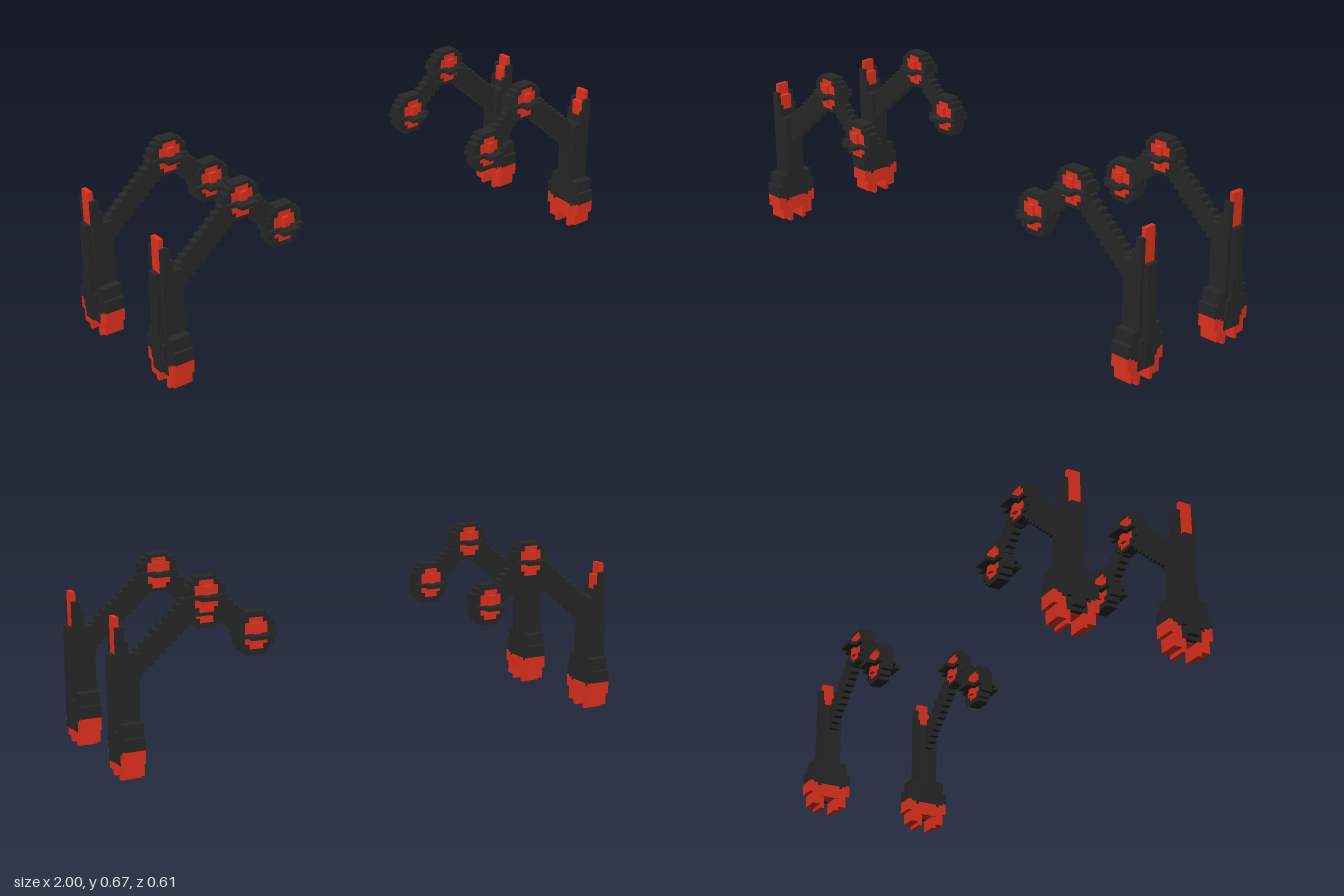
import * as THREE from 'three';

export function createModel() {
  const dark = new THREE.MeshStandardMaterial({ color: 0x282828 });
  dark.name = 'charcoal';
  const red = new THREE.MeshStandardMaterial({ color: 0xe6321e });
  red.name = 'red';

  // Box given by its limits on each axis
  const box = (parent, name, mat, x0, x1, y0, y1, z0, z1) => {
    const m = new THREE.Mesh(new THREE.BoxGeometry(x1 - x0, y1 - y0, z1 - z0), mat);
    m.position.set((x0 + x1) / 2, (y0 + y1) / 2, (z0 + z1) / 2);
    m.name = name;
    parent.add(m);
  };
  // Box centred on z = 0
  const mid = (parent, name, mat, x0, x1, y0, y1, h) => box(parent, name, mat, x0, x1, y0, y1, -h, h);

  // Stepped strut made of thin upright slices
  const strut = (parent, name, xa, ya, xb, yb, half, n) => {
    const g = new THREE.Group();
    g.name = name;
    const w = (xb - xa) / n;
    for (let i = 0; i < n; i++) {
      const y = ya + (yb - ya) * (i + 0.5) / n;
      mid(g, name + 'Step', dark, xa + i * w, xa + (i + 1) * w, y - half, y + half, 0.016);
    }
    parent.add(g);
  };

  // Stepped round joint with red faces, a raised red rib and a thin axle plate
  const joint = (parent, name, x, y, tall, plateY) => {
    const g = new THREE.Group();
    g.name = name;
    g.position.set(x, y, 0);
    [[0.038, 0.068], [0.055, 0.055], [0.07, 0.038]].forEach(([a, b], i) =>
      mid(g, 'jointRing', dark, -a, a, -b * tall, b * tall, 0.0232 - i * 0.0002));
    mid(g, 'jointFace', red, -0.026, 0.026, -0.056, 0.056, 0.0245);
    mid(g, 'jointFace', red, -0.042, 0.042, -0.038, 0.038, 0.0248);
    mid(g, 'jointRib', red, -0.013, 0.013, -0.039, 0.037, 0.038);
    mid(g, 'axlePlate', dark, -0.036, 0.036, plateY - 0.007, plateY + 0.007, 0.07);
    mid(g, 'axlePlateWing', dark, -0.07, 0.07, plateY - 0.0065, plateY + 0.0065, 0.0385);
    parent.add(g);
  };

  const makeLeg = (hipX) => {
    const leg = new THREE.Group();

    // Upper limb
    joint(leg, 'hipJoint', hipX, 0.451, 1.12, -0.008);
    joint(leg, 'kneeJoint', 0.651, 0.6, 1, -0.002);
    strut(leg, 'thigh', hipX + 0.02, 0.465, 0.63, 0.585, 0.048, 7);
    strut(leg, 'forearm', 0.67, 0.592, 0.91, 0.382, 0.052, 11);

    // Shin and its outer plate
    mid(leg, 'shin', dark, 0.905, 0.982, 0.05, 0.435, 0.038);
    mid(leg, 'outerPlate', dark, 0.98, 1.0, 0.063, 0.435, 0.023);
    mid(leg, 'anklePlate', dark, 0.98, 0.996, 0.095, 0.17, 0.038);

    // Spike: stepped red blade between dark sides
    mid(leg, 'spikeBack', dark, 0.94, 0.952, 0.43, 0.46, 0.023);
    mid(leg, 'spikeBladeStep', red, 0.95, 0.967, 0.43, 0.515, 0.023);
    mid(leg, 'spikeBlade', red, 0.966, 0.983, 0.435, 0.56, 0.023);

    // Red palm on the inner side of the foot
    mid(leg, 'clawPalm', red, 0.903, 0.962, 0.048, 0.1, 0.0385);

    for (const s of [-1, 1]) {
      const z = (a, b) => (s > 0 ? [a, b] : [-b, -a]);
      box(leg, 'spikeSide', dark, 0.955, 0.984, 0.43, 0.527, ...z(0.023, 0.038));
      box(leg, 'spikeSideBase', dark, 0.94, 0.955, 0.43, 0.48, ...z(0.023, 0.038));

      // Foot guard, with a stepped lower edge
      box(leg, 'footGuard', dark, 0.906, 0.981, 0.103, 0.2, ...z(0.03, 0.07));
      box(leg, 'footGuardStep', dark, 0.9062, 0.9808, 0.092, 0.12, ...z(0.03, 0.053));
      box(leg, 'footGuardEdge', dark, 0.9065, 0.9805, 0.11, 0.155, ...z(0.06, 0.085));

      // Claw, two prongs per foot
      box(leg, 'clawBulge', red, 0.907, 0.98, 0.063, 0.11, ...z(0.036, 0.085));
      box(leg, 'claw', red, 0.907, 0.98, 0.016, 0.064, ...z(0.023, 0.07));
      box(leg, 'clawTip', red, 0.907, 0.98, 0, 0.017, ...z(0.023, 0.038));
    }
    return leg;
  };

  // Four legs: the right pair are half-turned, with hips set slightly further out
  const model = new THREE.Group();
  model.name = 'legSet';
  for (const sx of [1, -1]) {
    for (const sz of [1, -1]) {
      const leg = makeLeg(sx > 0 ? 0.469 : 0.479);
      leg.name = (sz > 0 ? 'front' : 'rear') + (sx > 0 ? 'LeftLeg' : 'RightLeg');
      leg.position.z = sz * 0.218;
      if (sx < 0) leg.rotation.y = Math.PI;
      model.add(leg);
    }
  }
  return model;
}
